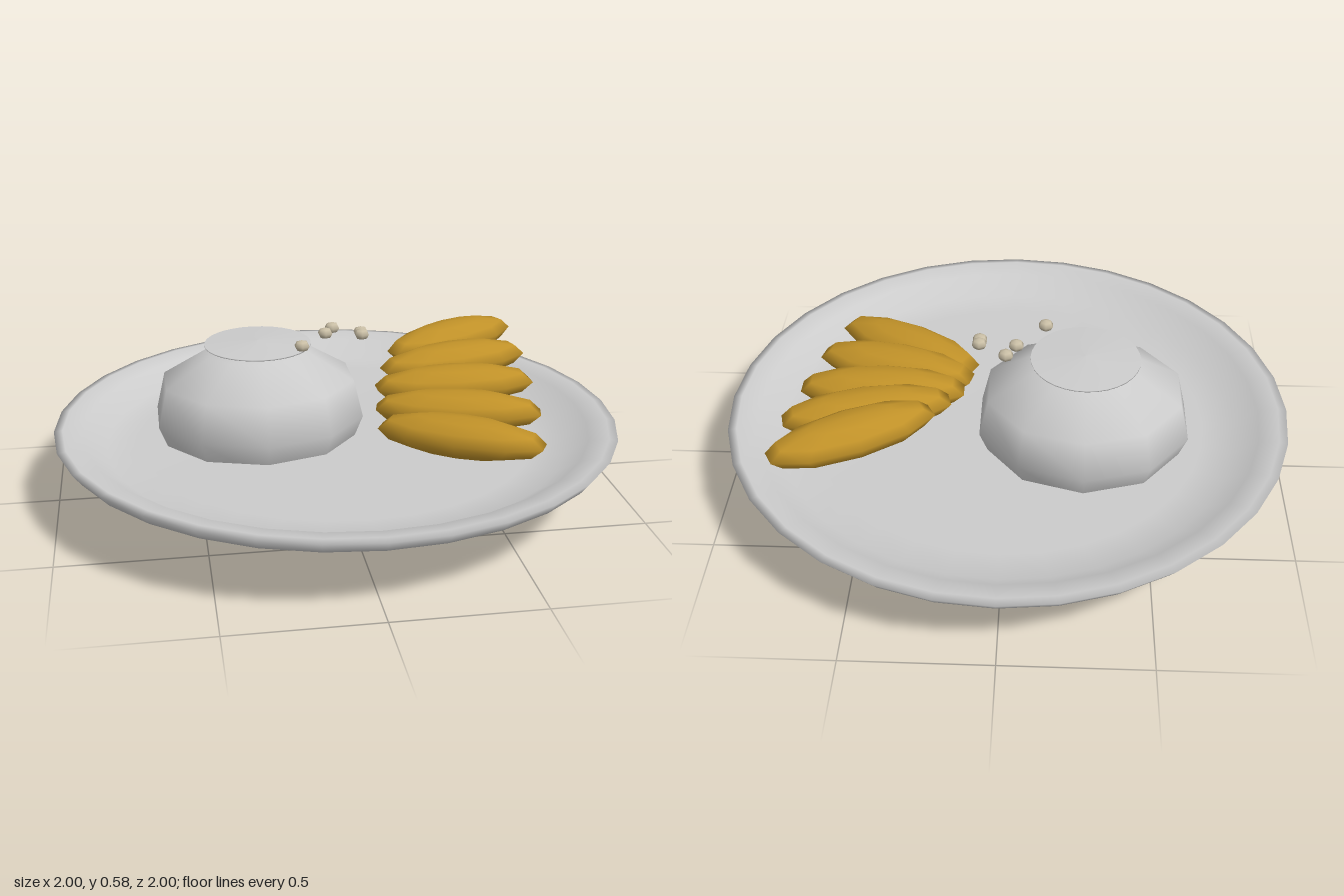
import * as THREE from 'three';

const material = (color) => new THREE.MeshStandardMaterial({ color });

function lathe(profile, sides) {
  return new THREE.LatheGeometry(profile.map(([r, y]) => new THREE.Vector2(r, y)), sides);
}

// Low-poly ellipsoid with flat ends along x
function ellipsoid(rx, ry, rz, sides, rings) {
  return new THREE.SphereGeometry(1, sides, rings).rotateY(Math.PI / 2).scale(rx, ry, rz);
}

export function createModel() {
  const model = new THREE.Group();
  const grey = material(0xcccccc);
  const yellow = material(0xc09128);
  const beige = material(0xcabfa6);

  function add(name, geometry, mat, x = 0, y = 0, z = 0, parent = model) {
    const mesh = new THREE.Mesh(geometry, mat);
    mesh.name = name;
    mesh.position.set(x, y, z);
    parent.add(mesh);
    return mesh;
  }

  // Plate: flat foot, flared underside, softly rounded lip and shallow well
  const plate = lathe([
    [0, 0.12], [0.715, 0.12], [0.74, 0.165], [0.97, 0.228], [1, 0.268],
    [0.97, 0.272], [0.9, 0.258], [0.82, 0.2], [0.7, 0.196], [0, 0.196],
  ], 32);
  add('plate', plate, grey);

  // Rice mound, slightly narrower from front to back, passing through the plate
  const rice = lathe([
    [0, 0.004], [0.193, 0.045], [0.328, 0.13], [0.383, 0.27],
    [0.35, 0.405], [0.185, 0.505], [0, 0.538],
  ], 10);
  rice.scale(1, 1, 0.9);
  add('riceMound', rice, grey, -0.27, 0, -0.08);

  // Thin round sheet draped over the mound, a little higher in the middle
  const sheet = lathe([[0, 0.53], [0.19, 0.529], [0.19, 0.533], [0, 0.543]], 32);
  add('topSheet', sheet, grey, -0.27, 0, -0.08);

  // Fan of overlapping slices, rising towards the back
  const slices = new THREE.Group();
  slices.name = 'slices';
  model.add(slices);
  const sliceGeometry = ellipsoid(0.305, 0.072, 0.102, 10, 6);
  const centres = [[0.385, 0.311], [0.416, 0.142], [0.445, -0.038], [0.48, -0.205], [0.508, -0.373]];
  centres.forEach(([x, z], i) => {
    const slice = add('slice', sliceGeometry, yellow, x, 0.291 + i * 0.03, z, slices);
    slice.rotation.y = (i - 2) * 0.25;
  });

  // Scattered seeds
  const seeds = new THREE.Group();
  seeds.name = 'seeds';
  model.add(seeds);
  const seedGeometry = ellipsoid(0.028, 0.021, 0.026, 6, 4);
  for (const [x, z] of [[-0.13, 0.07], [-0.03, -0.057], [0.004, -0.117], [0.098, -0.052], [0.097, -0.027]]) {
    add('seed', seedGeometry, beige, x, 0.564, z, seeds);
  }

  return model;
}
